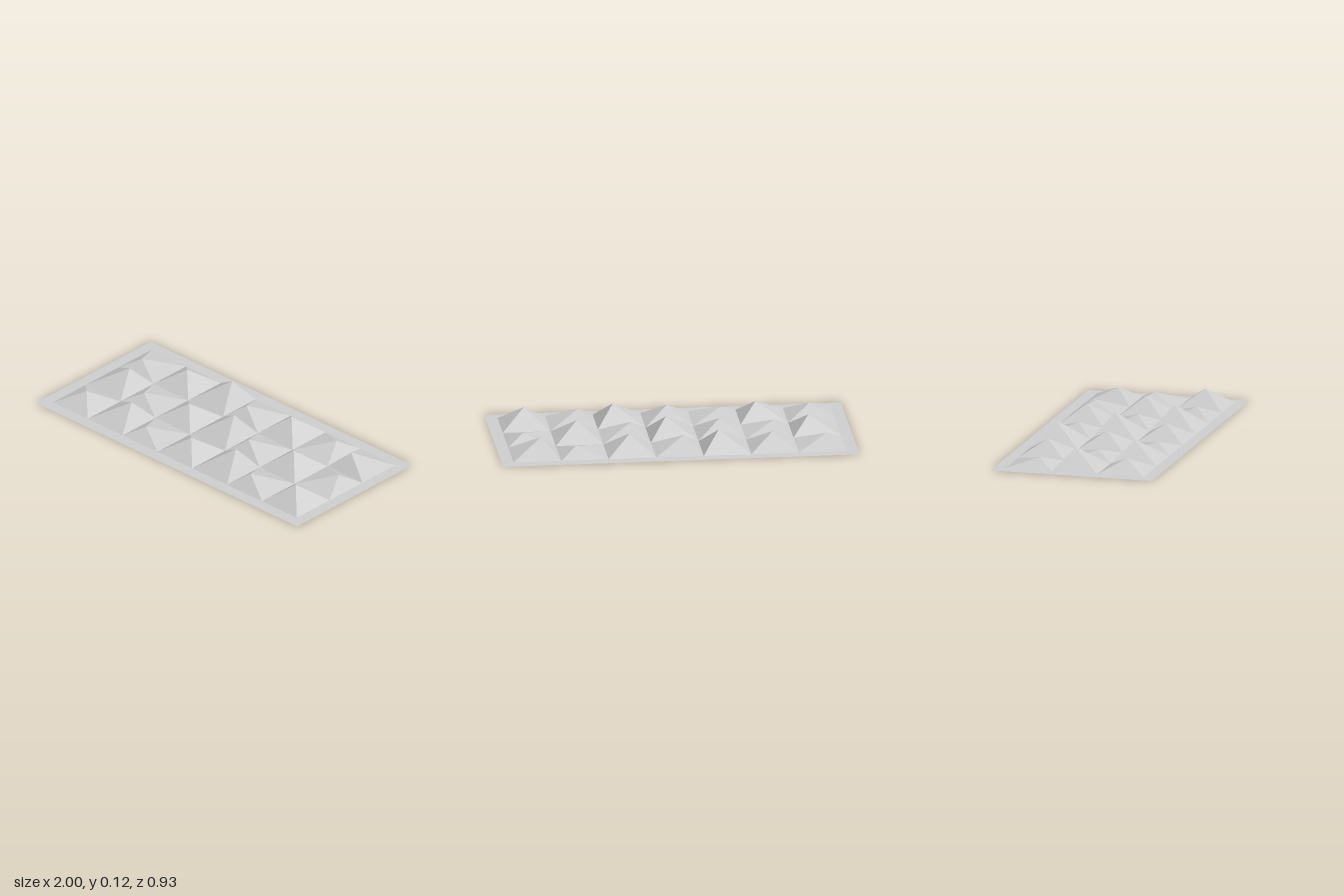
import * as THREE from 'three';

const CELL = 0.8 / 3, COLS = 7, ROWS = 3;
// apex position inside a cell (fractions across x and z), repeating along the diagonals
const APEX = [[0.35, 0.65], [0.5, 0.5], [0.65, 0.35]];

// open-bottomed pyramid on a square cell with an off-centre apex
function pyramid(fx, fz, height) {
  const corners = [[0, 0], [0, CELL], [CELL, CELL], [CELL, 0]];
  const pos = [];
  corners.forEach(([x, z], i) => {
    const [nx, nz] = corners[(i + 1) % 4];
    pos.push(x, 0, z, nx, 0, nz, fx * CELL, height, fz * CELL);
  });
  const geo = new THREE.BufferGeometry();
  geo.setAttribute('position', new THREE.Float32BufferAttribute(pos, 3));
  geo.computeVertexNormals();
  return geo;
}

export function createModel() {
  const model = new THREE.Group();
  model.name = 'pyramidPanel';
  const grey = new THREE.MeshStandardMaterial({ color: 0xcccccc, side: THREE.DoubleSide, flatShading: true });
  grey.name = 'light grey';

  // thin backing sheet
  const base = new THREE.Mesh(new THREE.PlaneGeometry(2, 0.934).rotateX(-Math.PI / 2), grey);
  base.name = 'backingSheet';
  model.add(base);

  // grid of pyramids with cycling apexes and heights
  const studs = new THREE.Group();
  studs.name = 'pyramids';
  for (let r = 0; r < ROWS; r++) {
    for (let c = 0; c < COLS; c++) {
      const [fx, fz] = APEX[(c - r + ROWS) % 3];
      const height = 0.0533 + 0.0167 * ((2 * c + 3 * r) % 5);
      const stud = new THREE.Mesh(pyramid(fx, fz, height), grey);
      stud.name = `pyramidRow${r + 1}Column${c + 1}`;
      stud.position.set((c - COLS / 2) * CELL, 0.001, (r - ROWS / 2) * CELL);
      studs.add(stud);
    }
  }
  model.add(studs);
  return model;
}
